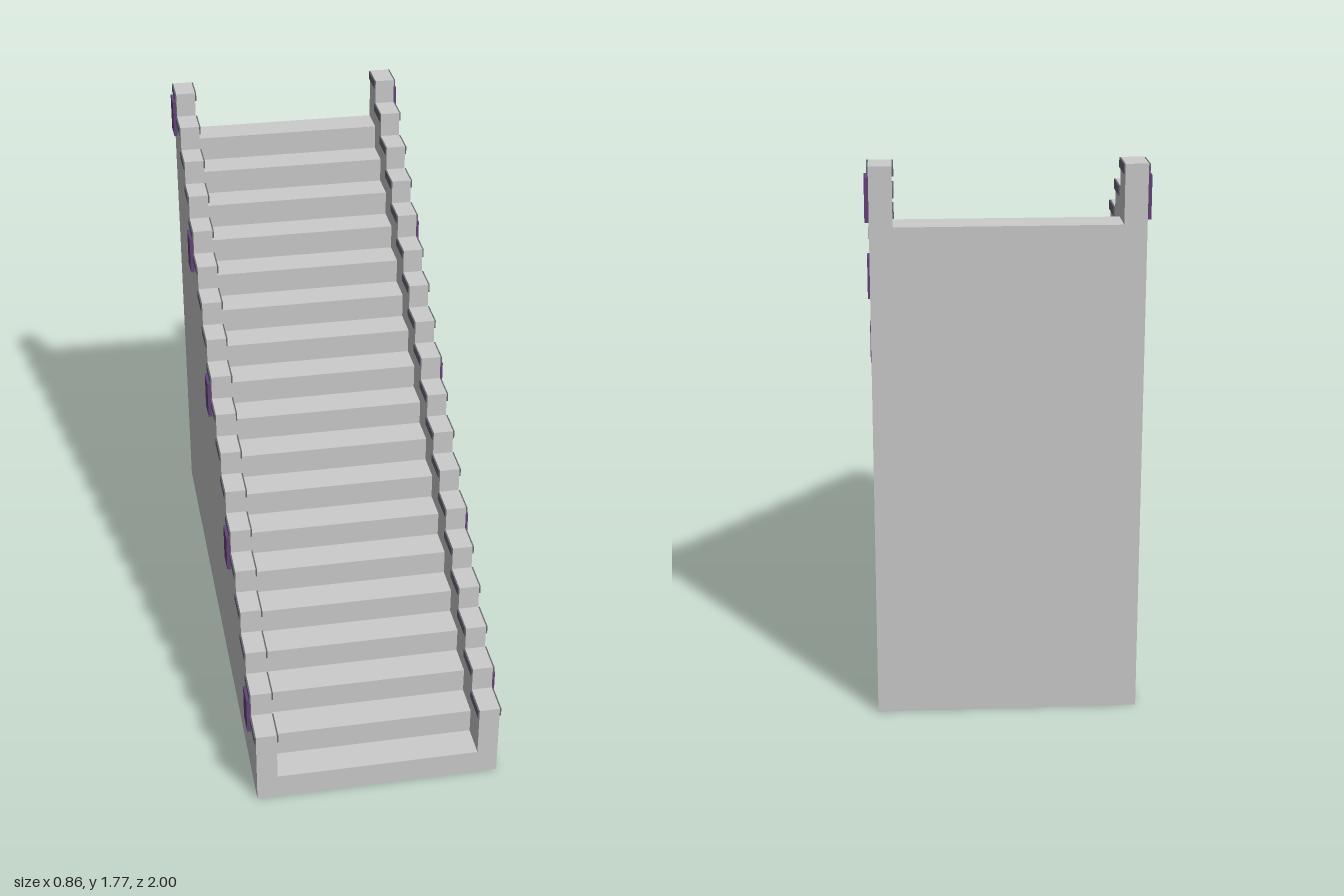
import * as THREE from 'three';

const STEPS = 18;
const RUN = 2 / STEPS;
const RISE = 0.0884;
const WALL_TOP = 0.272; // height of the lowest wall step
const grey = new THREE.MeshStandardMaterial({ color: 0xcccccc, flatShading: true });
const slate = new THREE.MeshStandardMaterial({ color: 0x666972, flatShading: true });
const purple = new THREE.MeshStandardMaterial({ color: 0x65437a, flatShading: true });

// Solid stepped block rising towards -z, centred on x = 0
function steppedBlock(width, firstHeight) {
  const s = new THREE.Shape();
  s.moveTo(-1, 0);
  s.lineTo(1, 0);
  for (let i = 0; i < STEPS; i++) {
    const y = firstHeight + i * RISE;
    s.lineTo(1 - i * RUN, y);
    s.lineTo(1 - (i + 1) * RUN, y);
  }
  s.closePath();
  const g = new THREE.ExtrudeGeometry(s, { depth: width, bevelEnabled: false });
  g.rotateY(-Math.PI / 2);
  g.translate(width / 2, 0, 0);
  return g;
}

function add(parent, name, geometry, material, x = 0, y = 0, z = 0) {
  const m = new THREE.Mesh(geometry, material);
  m.name = name;
  m.position.set(x, y, z);
  parent.add(m);
  return m;
}

export function createModel() {
  const model = new THREE.Group();
  model.name = 'staircase';

  // Flight of treads between the walls
  add(model, 'treads', steppedBlock(0.69, RISE), grey);

  const wallGeo = steppedBlock(0.07, WALL_TOP);
  const capGeo = new THREE.BoxGeometry(0.08, 0.03, RUN - 0.001);
  const panelGeo = new THREE.BoxGeometry(0.02, 0.135, 0.08);

  for (const side of [1, -1]) {
    const wall = new THREE.Group();
    wall.name = side > 0 ? 'leftWall' : 'rightWall';
    model.add(wall);
    add(wall, 'steppedWall', wallGeo, grey, side * 0.38);

    for (let i = 0; i < STEPS; i++) {
      const top = WALL_TOP + i * RISE;
      const z = 1 - (i + 0.5) * RUN;
      // Dark cap band, slightly proud of both wall faces
      add(wall, 'wallCap', capGeo, slate, side * 0.38, top - 0.0155, z);
      // Hanging panel on every fourth step
      if (i % 4 === 1) add(wall, 'sidePanel', panelGeo, purple, side * 0.418, top - 0.1045, z);
    }
  }
  return model;
}
